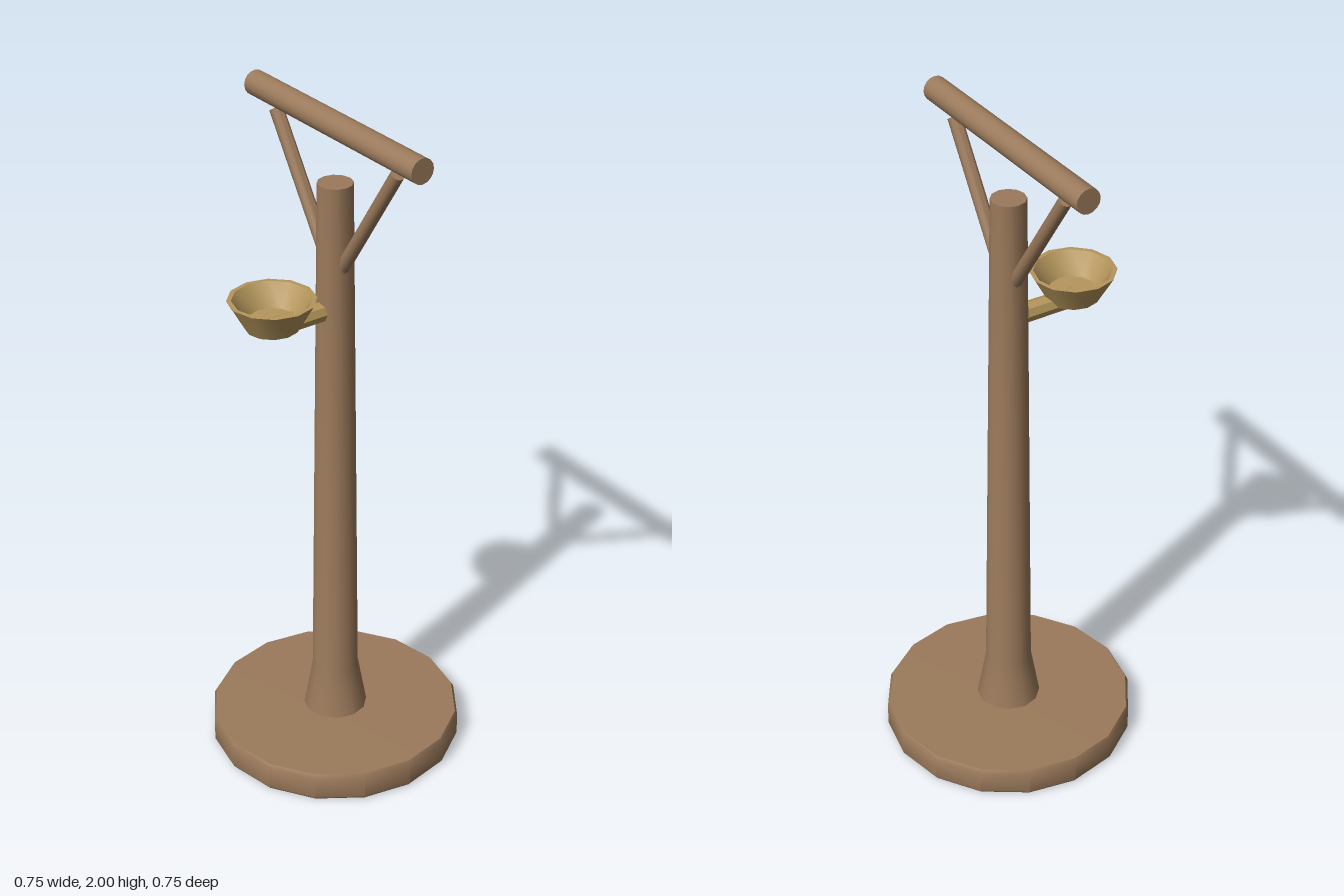
import * as THREE from 'three';
import { toCreasedNormals } from 'three/addons/utils/BufferGeometryUtils.js';

const wood = new THREE.MeshStandardMaterial({ color: 0x9b7a5b });
wood.name = 'brown wood';
const brass = new THREE.MeshStandardMaterial({ color: 0xb5965c });
brass.name = 'brass';

const CREASE = 0.65;

function part(name, geometry, material) {
  const mesh = new THREE.Mesh(toCreasedNormals(geometry, CREASE), material);
  mesh.name = name;
  return mesh;
}

// Turned solid from [radius, height] pairs, bottom to top
function turned(name, profile, sides, material) {
  const points = profile.map(([r, y]) => new THREE.Vector2(r, y));
  return part(name, new THREE.LatheGeometry(points, sides), material);
}

// Round rod between two points
function rod(name, from, to, radius, sides, material) {
  const a = new THREE.Vector3(...from);
  const b = new THREE.Vector3(...to);
  const direction = b.clone().sub(a);
  const mesh = part(name, new THREE.CylinderGeometry(radius, radius, direction.length(), sides), material);
  mesh.position.copy(a).add(b).multiplyScalar(0.5);
  mesh.quaternion.setFromUnitVectors(new THREE.Vector3(0, 1, 0), direction.normalize());
  return mesh;
}

export function createModel() {
  const model = new THREE.Group();
  model.name = 'perchStand';

  // Round foot with softened rims
  model.add(turned('base', [
    [0, 0], [0.367, 0], [0.373, 0.008], [0.373, 0.076], [0.366, 0.088], [0, 0.09],
  ], 16, wood));

  // Tapered post flaring at the foot
  model.add(turned('post', [
    [0, 0.085], [0.095, 0.085], [0.068, 0.24], [0.05, 1.8], [0, 1.8],
  ], 12, wood));

  // Crossbar and its two diagonal braces
  model.add(rod('crossbar', [-0.373, 1.964, 0], [0.373, 1.964, 0], 0.036, 16, wood));
  for (const [side, name] of [[1, 'leftBrace'], [-1, 'rightBrace']]) {
    model.add(rod(name, [side * 0.027, 1.55, 0], [side * 0.272, 1.921, 0], 0.02, 10, wood));
  }

  // Arm carrying the feeding bowl
  model.add(rod('bowlArm', [0, 1.428, 0.03], [0, 1.428, 0.21], 0.029, 8, brass));

  // Hollow bowl: outer wall, rim, inner wall, floor
  const bowl = turned('bowl', [
    [0, 1.43], [0.075, 1.43], [0.123, 1.515], [0.11, 1.515], [0.068, 1.453], [0, 1.453],
  ], 12, brass);
  bowl.position.z = 0.21;
  model.add(bowl);

  return model;
}
